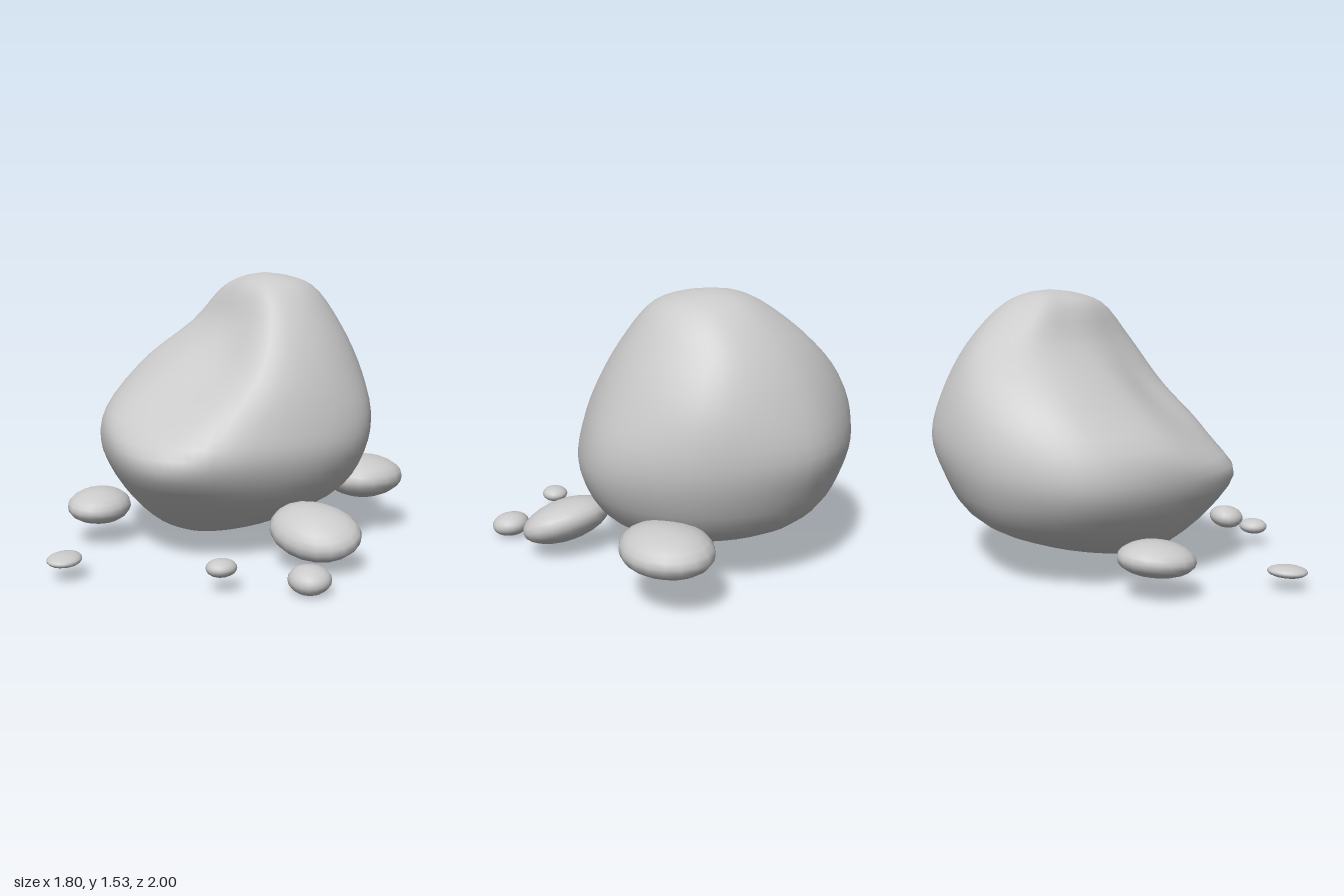
import * as THREE from 'three';
import { mergeVertices } from 'three/addons/utils/BufferGeometryUtils.js';

const stone = new THREE.MeshStandardMaterial({ color: 0xcacaca });
stone.name = 'grey stone';

// Horizontal sections of the boulder, top to bottom: height, then x,z pairs
// running right side, right front, ridge, hollow, left front, left, back left, back, back right.
const TOP = new THREE.Vector3(0.1, 1.53, -0.34);
const BOTTOM = new THREE.Vector3(-0.13, 0.083, 0.08);
const SECTIONS = [
  [1.45, 0.39, -0.32, 0.34, -0.14, 0.2, -0.04, 0.05, -0.1, -0.08, -0.24, -0.16, -0.38, -0.08, -0.54, 0.12, -0.6, 0.31, -0.51],
  [1.25, 0.54, -0.32, 0.46, -0.04, 0.26, 0.12, 0.02, 0.0, -0.2, -0.19, -0.37, -0.45, -0.28, -0.7, 0.07, -0.79, 0.4, -0.66],
  [1.0, 0.665, -0.28, 0.55, 0.06, 0.25, 0.3, -0.05, 0.18, -0.4, 0.05, -0.65, -0.28, -0.53, -0.72, 0.02, -0.93, 0.51, -0.71],
  [0.75, 0.745, -0.22, 0.6, 0.13, 0.13, 0.52, -0.24, 0.46, -0.62, 0.26, -0.81, -0.2, -0.65, -0.7, 0.0, -1.0, 0.55, -0.71],
  [0.55, 0.73, -0.18, 0.57, 0.2, 0.08, 0.62, -0.21, 0.67, -0.56, 0.41, -0.835, -0.16, -0.64, -0.68, 0.0, -0.945, 0.52, -0.68],
  [0.33, 0.6, -0.16, 0.46, 0.18, 0.1, 0.47, -0.2, 0.53, -0.49, 0.33, -0.7, -0.15, -0.55, -0.6, 0.0, -0.81, 0.44, -0.58],
  [0.16, 0.28, -0.03, 0.21, 0.12, 0.02, 0.28, -0.18, 0.32, -0.36, 0.22, -0.42, -0.03, -0.31, -0.36, -0.04, -0.47, 0.21, -0.33],
];

// Extra point close to a pole that rounds the cap off
function capPoint(pole, p) {
  const q = pole.clone().lerp(p, 0.5);
  q.y = pole.y + (p.y - pole.y) * 0.25;
  return q;
}

// Smooth skin through closed section curves
function boulderGeometry(around = 54, down = 36) {
  const loops = SECTIONS.map(([y, ...xz]) => {
    const pts = [];
    for (let i = 0; i < xz.length; i += 2) pts.push(new THREE.Vector3(xz[i], y, xz[i + 1]));
    return new THREE.CatmullRomCurve3(pts, true);
  });
  const positions = [], index = [];
  for (let j = 0; j < around; j++) {
    const column = loops.map((loop) => loop.getPoint(j / around));
    const line = new THREE.CatmullRomCurve3([
      TOP, capPoint(TOP, column[0]), ...column,
      capPoint(BOTTOM, column[column.length - 1]), BOTTOM,
    ]);
    for (let i = 0; i <= down; i++) {
      const p = line.getPoint(i / down);
      positions.push(p.x, p.y, p.z);
      if (i === down) continue;
      const a = j * (down + 1) + i;
      const b = ((j + 1) % around) * (down + 1) + i;
      if (i > 0) index.push(a, b, a + 1);
      if (i < down - 1) index.push(b, b + 1, a + 1);
    }
  }
  const geo = new THREE.BufferGeometry();
  geo.setAttribute('position', new THREE.Float32BufferAttribute(positions, 3));
  geo.setIndex(index);
  const joined = mergeVertices(geo, 1e-5);
  joined.computeVertexNormals();
  return joined;
}

// Flattened ball with gentle lumps
function pebbleGeometry(radii, seed) {
  const ball = new THREE.SphereGeometry(1, 18, 12);
  ball.deleteAttribute('uv');
  ball.deleteAttribute('normal');
  const geo = mergeVertices(ball, 1e-4);
  const pos = geo.attributes.position;
  const v = new THREE.Vector3();
  for (let i = 0; i < pos.count; i++) {
    v.fromBufferAttribute(pos, i);
    const lump = 1 + 0.035 * Math.sin(2.6 * v.x + seed) * Math.cos(2.3 * v.z + seed * 1.7);
    v.multiplyScalar(lump);
    pos.setXYZ(i, v.x * radii[0], v.y * radii[1], v.z * radii[2]);
  }
  geo.computeVertexNormals();
  return geo;
}

// name, centre, radii, rotation
const PEBBLES = [
  ['rightStone', [-0.735, 0.212, 0.2], [0.175, 0.094, 0.203], [0.08, 0, -0.07]],
  ['rightFrontPebble', [-0.615, 0.1, 0.895], [0.085, 0.032, 0.105], [0.05, 0, -0.03]],
  ['middlePebble', [0.205, 0.12, 0.86], [0.076, 0.044, 0.08], [0, 0, 0]],
  ['leftFrontPebble', [0.625, 0.07, 0.765], [0.107, 0.069, 0.105], [0.15, 0, 0]],
  ['leftStone', [0.558, 0.195, 0.345], [0.26, 0.115, 0.203], [0.36, -0.42, -0.04]],
  ['leftBackStone', [0.66, 0.32, -0.54], [0.232, 0.122, 0.263], [0, -0.38, 0]],
];

export function createModel() {
  const group = new THREE.Group();
  group.name = 'boulderWithPebbles';

  const boulder = new THREE.Mesh(boulderGeometry(), stone);
  boulder.name = 'boulder';
  group.add(boulder);

  PEBBLES.forEach(([name, centre, radii, turn], i) => {
    const pebble = new THREE.Mesh(pebbleGeometry(radii, i * 1.3), stone);
    pebble.name = name;
    pebble.position.set(...centre);
    pebble.rotation.set(...turn);
    group.add(pebble);
  });
  return group;
}
